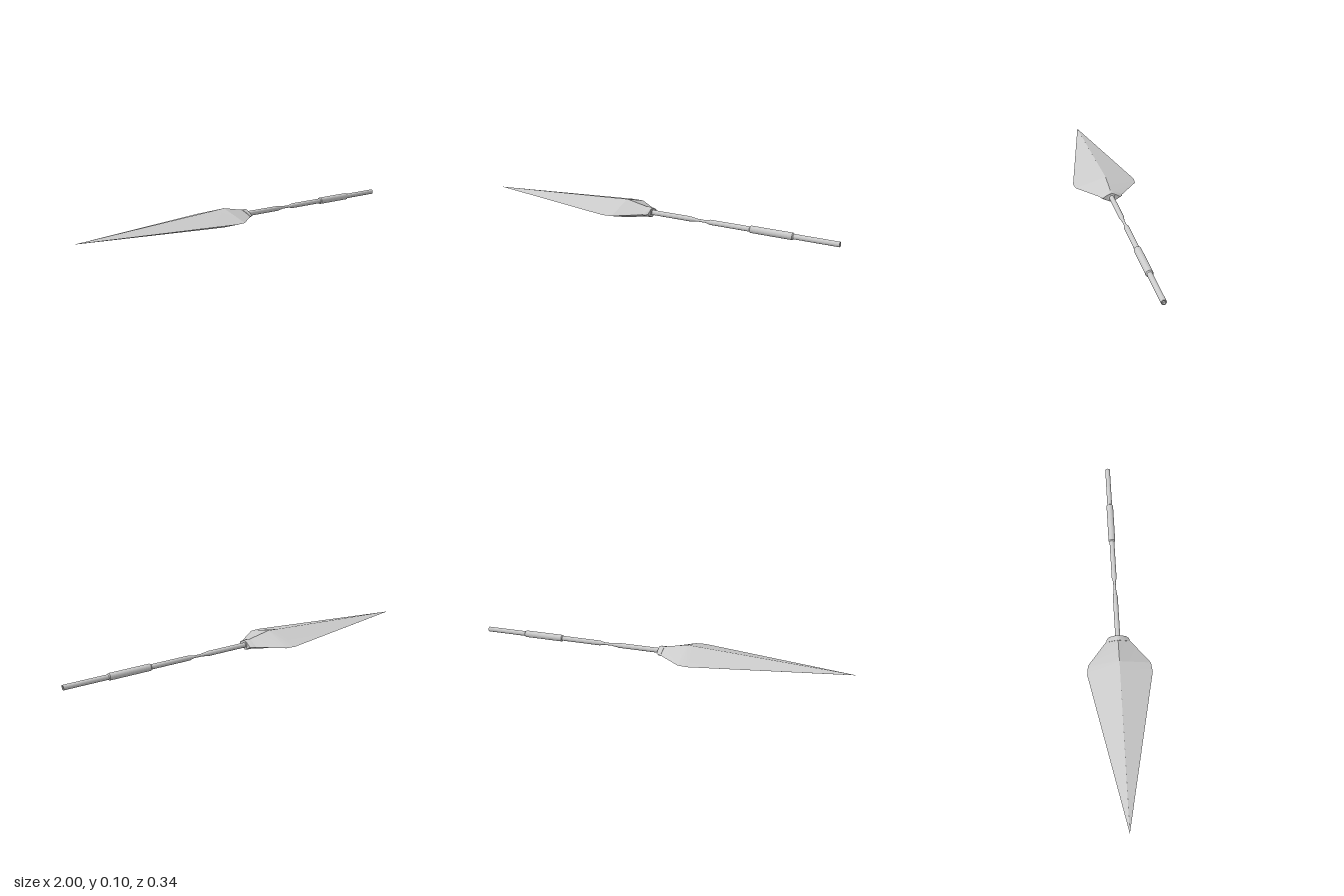
import * as THREE from 'three';
import { toCreasedNormals } from 'three/addons/utils/BufferGeometryUtils.js';

const AXIS_Y = 0.052;

// Skin a row of [x, halfHeight, halfWidth] sections; power 2 gives a rhombus, more gives a concave star
function loft(sections, sides, power) {
  const pos = [], index = [];
  const spow = (v) => Math.sign(v) * Math.pow(Math.abs(v), power);
  for (const [x, h, w] of sections) {
    for (let j = 0; j < sides; j++) {
      const a = (j / sides) * Math.PI * 2;
      pos.push(x, h * spow(Math.sin(a)), w * spow(Math.cos(a)));
    }
  }
  const last = (sections.length - 1) * sides;
  for (let i = 0; i < last; i += sides) {
    for (let j = 0; j < sides; j++) {
      const a = i + j, b = i + ((j + 1) % sides);
      index.push(a, a + sides, b, b, a + sides, b + sides);
    }
  }
  // end caps
  const start = pos.length / 3;
  pos.push(sections[0][0], 0, 0, sections[sections.length - 1][0], 0, 0);
  for (let j = 0; j < sides; j++) {
    const k = (j + 1) % sides;
    index.push(start, j, k, start + 1, last + k, last + j);
  }
  const g = new THREE.BufferGeometry();
  g.setAttribute('position', new THREE.Float32BufferAttribute(pos, 3));
  g.setIndex(index);
  return g;
}

export function createModel() {
  const group = new THREE.Group();
  const material = new THREE.MeshStandardMaterial({ color: 0xcccccc });
  const add = (name, geometry, crease) => {
    const mesh = new THREE.Mesh(toCreasedNormals(geometry, crease), material);
    mesh.name = name;
    mesh.position.y = AXIS_Y;
    group.add(mesh);
  };

  // Leaf-shaped blade with a central ridge
  add('blade', loft([
    [-1, 0.0005, 0.0005],
    [-0.2, 0.047, 0.168],
    [-0.15, 0.05, 0.162],
    [-0.025, 0.025, 0.062],
  ], 4, 1), 0.2);

  // Winged collar at the blade's base
  add('collar', loft([
    [-0.028, 0.027, 0.062],
    [-0.01, 0.027, 0.057],
    [0, 0.025, 0.045],
  ], 32, 1.7), 0.6);

  // Round socket, shaft with a narrow neck, thicker grip and recessed butt, as [radius, x]
  const profile = [
    [0, -0.03], [0.019, -0.03], [0.019, 0.002], [0.013, 0.004],
    [0.013, 0.225], [0.011, 0.235], [0.007, 0.265], [0.007, 0.31], [0.013, 0.335],
    [0.013, 0.55], [0.018, 0.555], [0.018, 0.77], [0.013, 0.775],
    [0.013, 1], [0.008, 1], [0.008, 0.99], [0, 0.99],
  ].map(([r, x]) => new THREE.Vector2(r, x));
  const shaft = new THREE.LatheGeometry(profile, 24);
  shaft.rotateZ(-Math.PI / 2);
  add('shaft', shaft, 0.5);

  return group;
}
